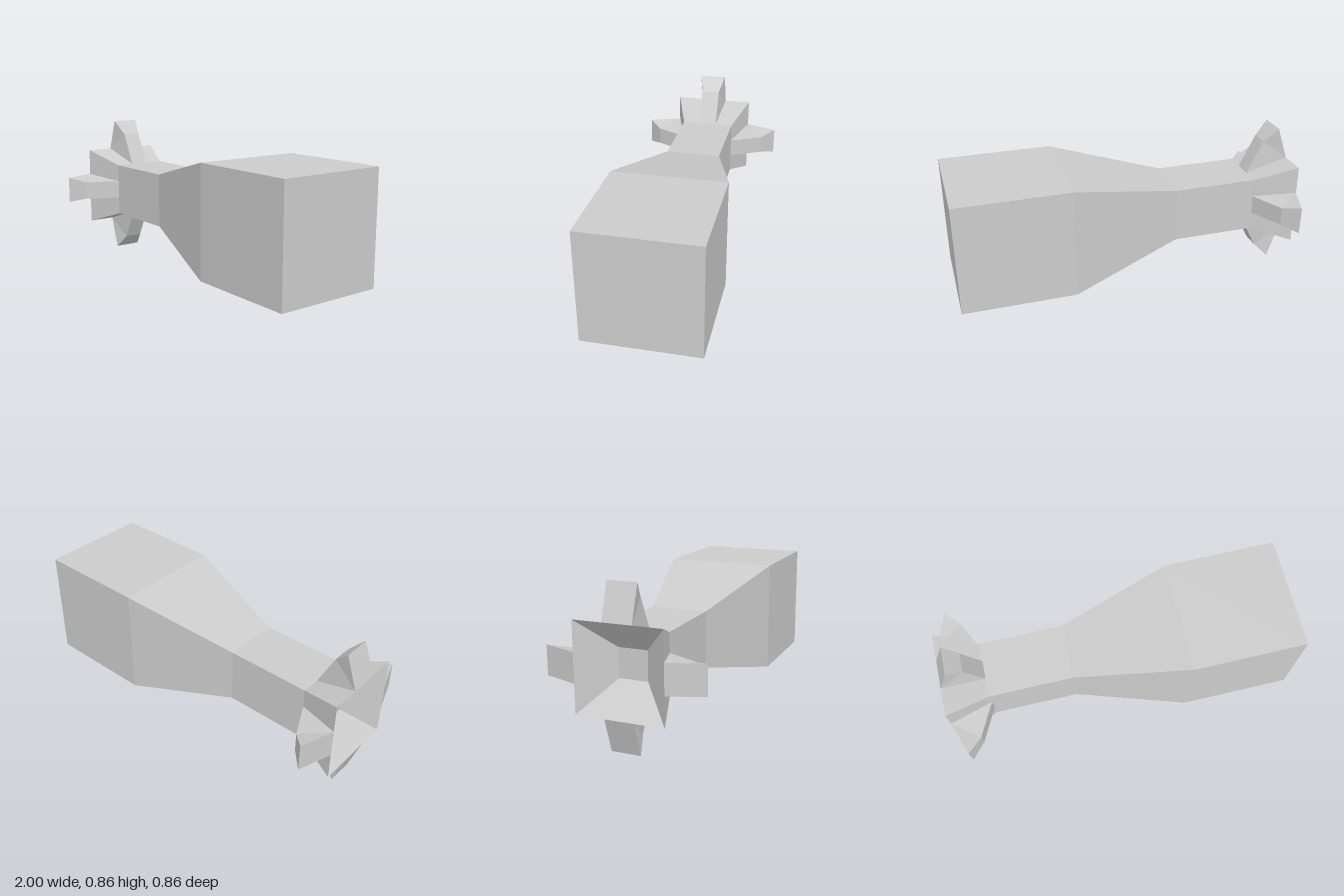
import * as THREE from 'three';

const material = new THREE.MeshStandardMaterial({ color: 0xcccccc, flatShading: true });

// Flat-shaded mesh from four-cornered faces, corners counter-clockwise from outside
function facesMesh(name, faces) {
  const positions = [];
  for (const [a, b, c, d] of faces) positions.push(...a, ...b, ...c, ...a, ...c, ...d);
  const geometry = new THREE.BufferGeometry();
  geometry.setAttribute('position', new THREE.Float32BufferAttribute(positions, 3));
  geometry.computeVertexNormals();
  const mesh = new THREE.Mesh(geometry, material);
  mesh.name = name;
  return mesh;
}

// Square cross-section around the x axis
const ring = (x, h) => [[x, h, h], [x, -h, h], [x, -h, -h], [x, h, -h]];

// Square shaft, flared at the tail and widening into a block
function createBody() {
  const rings = [[-1, 0.24], [-0.76, 0.16], [-0.28, 0.16], [0.36, 0.32], [1, 0.32]].map(([x, h]) => ring(x, h));
  const faces = [rings[rings.length - 1]];
  for (let i = 0; i < rings.length - 1; i++) {
    for (let k = 0; k < 4; k++) {
      const n = (k + 1) % 4;
      faces.push([rings[i][k], rings[i][n], rings[i + 1][n], rings[i + 1][k]]);
    }
  }
  return facesMesh('body', faces);
}

// Wedge fin standing on the upper side of the flare
function createFin() {
  const profile = [[-1, 0.24, 0.08], [-0.935, 0.43, 0.08], [-0.855, 0.35, 0.054], [-0.76, 0.16, 0.054]];
  const left = profile.map(([x, y, w]) => [x, y, w]);
  const right = profile.map(([x, y, w]) => [x, y, -w]);
  const faces = [[left[0], left[3], left[2], left[1]], right];
  for (let i = 0; i < 3; i++) faces.push([right[i], left[i], left[i + 1], right[i + 1]]);
  return facesMesh('fin', faces);
}

// One quarter of the recess in the tail end: a sloping wall and a folded corner
function createRecessQuarter() {
  const e = -1, d = -0.84, s = 0.08, w = 0.24;
  return facesMesh('recessWall', [
    [[d, s, -s], [d, s, s], [e, w, s], [e, w, -s]],
    [[d, s, s], [e, s, w], [e, w, w], [e, w, s]],
  ]);
}

export function createModel() {
  const model = new THREE.Group();
  model.name = 'finnedBlock';
  model.add(createBody(), facesMesh('recessFloor', [ring(-0.84, 0.08).reverse()]));

  // Four fins and recess quarters around the axis
  for (let k = 0; k < 4; k++) {
    const quarter = new THREE.Group();
    quarter.name = 'tailQuarter';
    quarter.add(createFin(), createRecessQuarter());
    quarter.rotation.x = (k * Math.PI) / 2;
    model.add(quarter);
  }
  for (const part of model.children) part.position.y = 0.43;
  return model;
}
